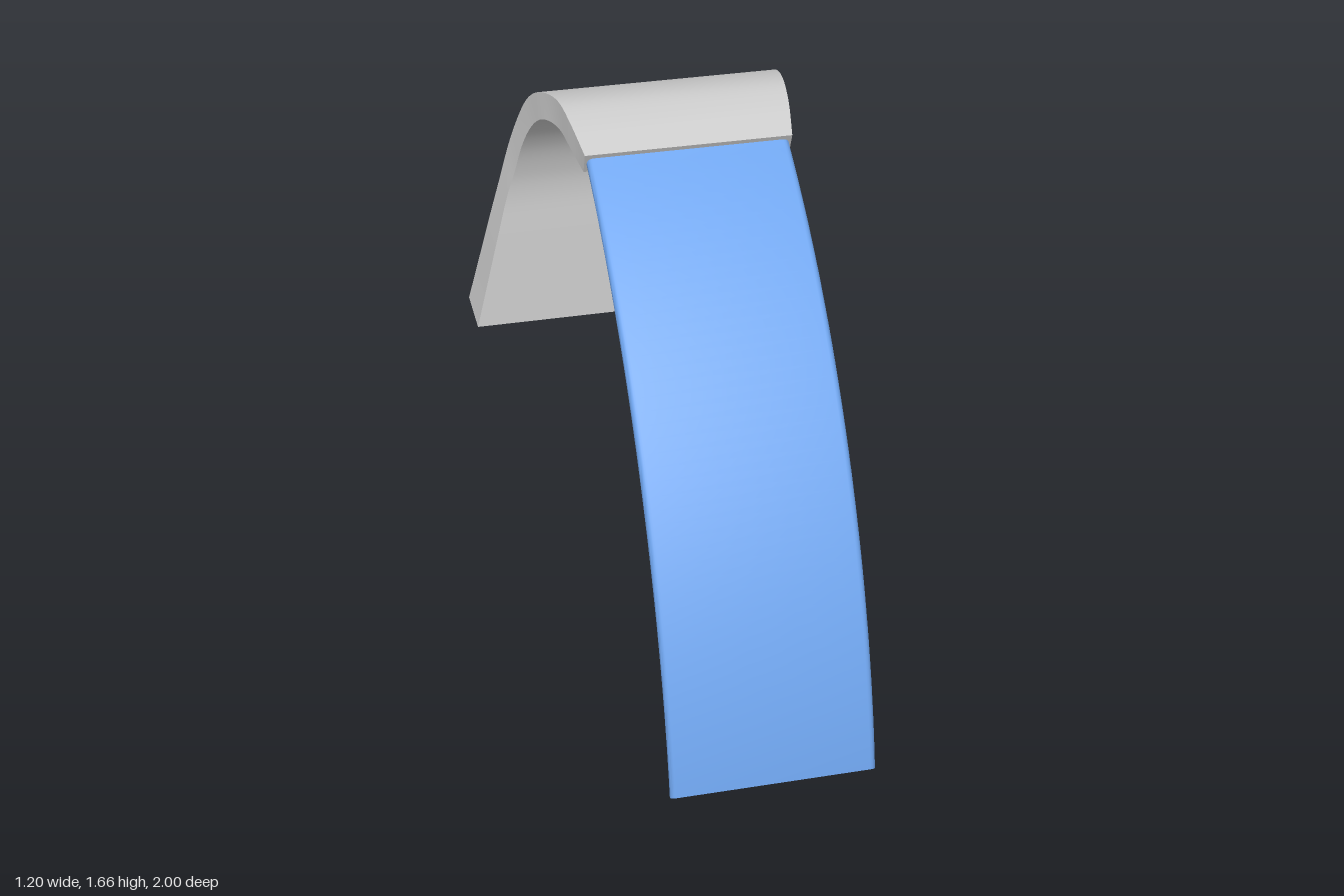
import * as THREE from 'three';
import { toCreasedNormals } from 'three/addons/utils/BufferGeometryUtils.js';

// Skin a list of closed rings (counterclockwise about the travel direction) and cap both ends
function loft(rings) {
  const n = rings[0].length, last = rings.length - 1;
  const index = [];
  for (let i = 0; i < last; i++) {
    for (let j = 0; j < n; j++) {
      const k = (j + 1) % n;
      const a = i * n + j, b = i * n + k, c = b + n, d = a + n;
      index.push(a, b, c, a, c, d);
    }
  }
  for (let j = 1; j < n - 1; j++) {
    index.push(0, j + 1, j);
    index.push(last * n, last * n + j, last * n + j + 1);
  }
  const geometry = new THREE.BufferGeometry().setFromPoints(rings.flat());
  geometry.setIndex(index);
  return toCreasedNormals(geometry, 0.6);
}

// Curved strip: a rounded bar section swept along a circular arc
function stripGeometry() {
  const halfWidth = 0.317, halfThick = 0.0235, corner = 0.019;
  const radius = 2.2075, centreY = -0.405, centreZ = -1.189, steps = 48;
  const section = [];
  [[1, 1], [-1, 1], [-1, -1], [1, -1]].forEach(([sx, sy], q) => {
    for (let k = 0; k <= 4; k++) {
      const a = (q + k / 4) * Math.PI / 2;
      section.push([
        sx * (halfWidth - corner) + corner * Math.cos(a),
        sy * (halfThick - corner) + corner * Math.sin(a),
      ]);
    }
  });
  const rings = [];
  for (let i = 0; i <= steps; i++) {
    const t = i / steps;
    rings.push(section.map(([u, v]) => {
      // the foot is cut slightly off square
      const start = 10.97 + 0.25 * v / halfThick;
      const a = THREE.MathUtils.degToRad(THREE.MathUtils.lerp(start, 62.95, t));
      const r = radius + v;
      return new THREE.Vector3(-u, centreY + r * Math.sin(a), centreZ + r * Math.cos(a));
    }));
  }
  return loft(rings);
}

// Hooked end: an arch that widens and turns down into a flared plate
function hookGeometry() {
  // half width, outer y, outer z, inner y, inner z
  const stations = [
    [0.325, 1.595, -0.165, 1.525, -0.197],
    [0.345, 1.645, -0.29, 1.556, -0.30],
    [0.36, 1.663, -0.417, 1.57, -0.417],
    [0.385, 1.61, -0.61, 1.54, -0.556],
    [0.405, 1.515, -0.77, 1.455, -0.69],
    [0.428, 1.375, -0.89, 1.347, -0.77],
    [0.45, 1.267, -0.94, 1.235, -0.808],
    [0.475, 1.15, -0.968, 1.15, -0.818],
  ];
  for (const [w, y] of [[0.515, 1.0], [0.555, 0.845], [0.59, 0.71], [0.6, 0.672]]) {
    const t = (1.15 - y) / (1.15 - 0.672);
    stations.push([w, y, -0.968 - 0.032 * t, y, -0.818 + 0.027 * t]);
  }
  const outer = new THREE.CatmullRomCurve3(stations.map(s => new THREE.Vector3(s[0], s[1], s[2])));
  const inner = new THREE.CatmullRomCurve3(stations.map(s => new THREE.Vector3(s[0], s[3], s[4])));
  const rings = [], steps = 66;
  for (let i = 0; i <= steps; i++) {
    const o = outer.getPoint(i / steps), n = inner.getPoint(i / steps);
    rings.push([
      new THREE.Vector3(-o.x, o.y, o.z), o,
      n, new THREE.Vector3(-n.x, n.y, n.z),
    ]);
  }
  return loft(rings);
}

export function createModel() {
  const group = new THREE.Group();
  const add = (name, geometry, color) => {
    const mesh = new THREE.Mesh(geometry, new THREE.MeshStandardMaterial({ color }));
    mesh.name = name;
    group.add(mesh);
  };
  add('curvedStrip', stripGeometry(), 0x6fa5ee);
  add('flaredHook', hookGeometry(), 0xcccccc);
  return group;
}
